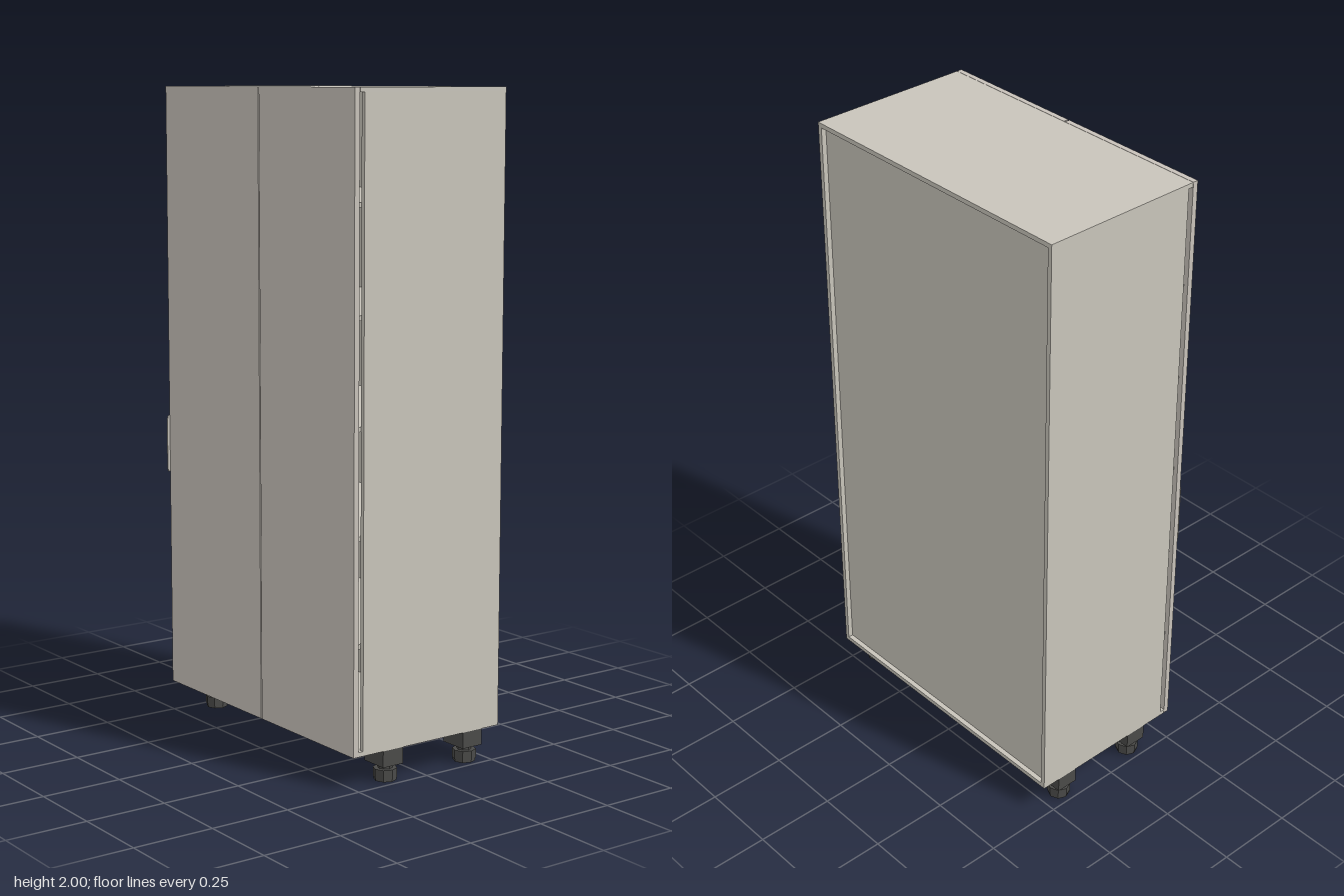
import * as THREE from 'three';

export function createModel() {
  const model = new THREE.Group();
  model.name = 'cabinet';

  const bodyMat = new THREE.MeshStandardMaterial({ name: 'warm grey body', color: 0xc8c4ba });
  const doorMat = new THREE.MeshStandardMaterial({ name: 'warm grey door', color: 0xc8c2ba });
  const handleMat = new THREE.MeshStandardMaterial({ name: 'handle grey', color: 0xc0bcb4, side: THREE.DoubleSide });
  const footMat = new THREE.MeshStandardMaterial({ name: 'dark grey foot', color: 0x4a4a48, flatShading: true });

  // Box given by its lowest and highest corners
  function box(name, mat, [x0, y0, z0], [x1, y1, z1], parent = model) {
    const mesh = new THREE.Mesh(new THREE.BoxGeometry(x1 - x0, y1 - y0, z1 - z0), mat);
    mesh.position.set((x0 + x1) / 2, (y0 + y1) / 2, (z0 + z1) / 2);
    mesh.name = name;
    parent.add(mesh);
    return mesh;
  }

  const W = 0.489, T = 0.014;          // half width, board thickness
  const BOTTOM = 0.1, TOP = 2;
  const BACK = -0.281, SIDE_FRONT = 0.227, SHELF_FRONT = 0.243, DOOR_FRONT = 0.261;

  // Carcass: top and bottom reach the doors, the sides stop short of them
  box('topPanel', bodyMat, [-W, TOP - T, BACK], [W, TOP, SHELF_FRONT]);
  box('bottomPanel', bodyMat, [-W, BOTTOM, BACK], [W, BOTTOM + T, SHELF_FRONT]);
  box('rightSide', bodyMat, [-W, BOTTOM + T, BACK], [-W + T, TOP - T, SIDE_FRONT]);
  box('leftSide', bodyMat, [W - T, BOTTOM + T, BACK], [W, TOP - T, SIDE_FRONT]);
  box('backPanel', bodyMat, [-W + T, BOTTOM + T, BACK + 0.016], [W - T, TOP - T, BACK + 0.024]);

  // Evenly spaced shelves
  for (let i = 1; i <= 5; i++) {
    const y = BOTTOM + T / 2 + i * (TOP - BOTTOM - T) / 6;
    box('shelf', bodyMat, [-W + T, y - T / 2, BACK + 0.024], [W - T, y + T / 2, SHELF_FRONT]);
  }

  // Doors with a narrow gap between them
  box('rightDoor', doorMat, [-W, BOTTOM, SHELF_FRONT + 0.001], [0.018, TOP, DOOR_FRONT]);
  box('leftDoor', doorMat, [0.023, BOTTOM, SHELF_FRONT + 0.001], [W, TOP, DOOR_FRONT]);

  // Slanted handle tab with clipped outer corners
  const tab = new THREE.Shape([
    new THREE.Vector2(0, -0.09), new THREE.Vector2(0.014, -0.09), new THREE.Vector2(0.024, -0.078),
    new THREE.Vector2(0.024, 0.078), new THREE.Vector2(0.014, 0.09), new THREE.Vector2(0, 0.09),
  ]);
  const handle = new THREE.Mesh(
    new THREE.ExtrudeGeometry(tab, { depth: 0.002, bevelEnabled: false }), handleMat);
  handle.name = 'handle';
  handle.position.set(-W + 0.001, 0.88, DOOR_FRONT);
  handle.rotation.y = -0.88;
  model.add(handle);

  // Adjustable feet: mounting block, stem and faceted pad
  function cylinder(name, radius, y0, y1, parent) {
    const mesh = new THREE.Mesh(new THREE.CylinderGeometry(radius, radius, y1 - y0, 8), footMat);
    mesh.name = name;
    mesh.position.y = (y0 + y1) / 2;
    parent.add(mesh);
  }
  for (const side of [-1, 1]) {
    for (const z of [0.117, -0.182]) {
      const foot = new THREE.Group();
      foot.name = 'foot';
      foot.position.set(side * 0.45, 0, z);
      const block = box('footBlock', footMat, [-0.045, 0.05, -0.036], [0.045, BOTTOM, 0.036], foot);
      block.position.x = -side * 0.007;
      cylinder('footStem', 0.022, 0.034, 0.05, foot);
      cylinder('footPad', 0.036, 0.008, 0.036, foot);
      cylinder('footBase', 0.034, 0, 0.008, foot);
      model.add(foot);
    }
  }
  return model;
}
